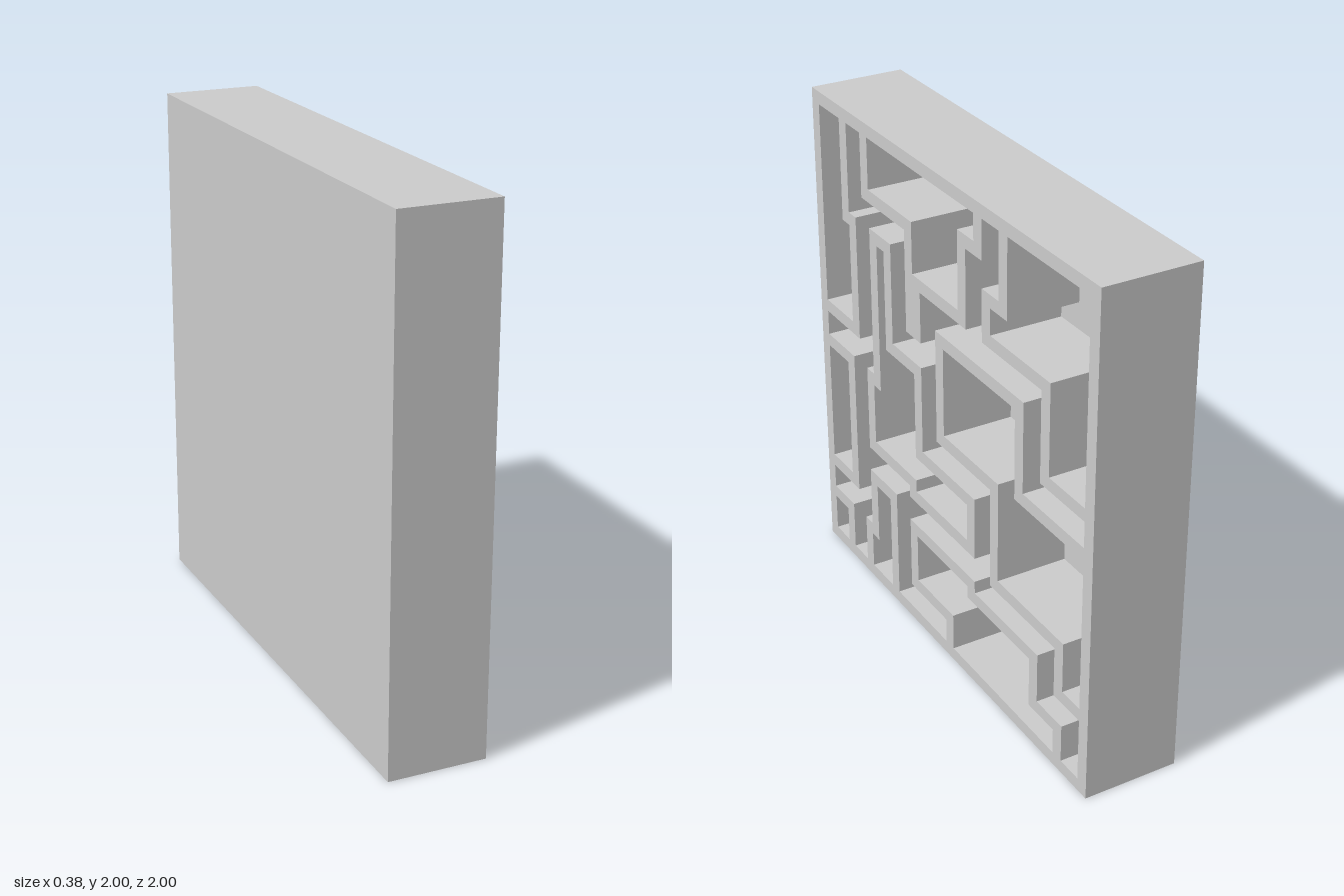
import * as THREE from 'three';

const COLS = 36, ROWS = 39;            // wall grid across the panel
const BACK = -0.19, FLOOR = -0.095, FRONT = 0.19;

// Corners of a right-angled outline: start column and row, then
// alternating column, row, column, row ... (one coordinate changes per turn).
function outline([c, r, ...turns]) {
  const points = [];
  const add = () => points.push(new THREE.Vector2(-1 + (2 * c) / COLS, 2 - (2 * r) / ROWS));
  add();
  turns.forEach((value, i) => {
    if (i % 2 === 0) c = value; else r = value;
    add();
  });
  return points;
}

// The long winding corridor
const corridor = [
  5, 1, 5, 8, 6, 18, 1, 20, 5, 32, 1, 34, 4, 38, 6, 34, 7, 29, 11, 38, 18, 36,
  13, 30, 22, 31, 30, 35, 33, 38, 35, 33, 32, 29, 24, 21, 17, 12, 28, 19, 35, 17,
  30, 10, 23, 6, 25, 1, 23, 4, 21, 10, 15, 14, 13, 6, 7, 1];

// Closed pockets between the corridor and the frame
const pockets = [
  [1, 1, 4, 9, 5, 17, 1],
  [1, 21, 4, 31, 1],
  [1, 35, 3, 38, 1],
  [8, 30, 10, 38, 7, 35, 8],
  [14, 31, 21, 32, 29, 36, 32, 38, 19, 35, 14],
  [18, 13, 27, 20, 35, 32, 33, 28, 25, 20, 18],
  [8, 1, 22, 3, 20, 9, 14, 5, 8],
  [26, 1, 35, 16, 31, 9, 24, 7, 26]];

// Free-standing hollow wall inside the corridor
const islandOuter = [8, 8, 11, 16, 15, 23, 22, 28, 13, 27, 7, 20, 8];
const islandInner = [9, 9, 10, 17, 14, 24, 21, 27, 14, 26, 8, 21, 9];

export function createModel() {
  const group = new THREE.Group();
  group.name = 'mazePanel';
  const material = new THREE.MeshStandardMaterial({ color: 0xcccccc, flatShading: true });

  const addMesh = (name, geometry) => {
    const mesh = new THREE.Mesh(geometry, material);
    mesh.name = name;
    group.add(mesh);
    return mesh;
  };

  // Raise an outline with openings from the floor to the front edge, facing +x.
  // The outer outline runs counter-clockwise so the openings face inwards.
  const addWalls = (name, outer, holes) => {
    const shape = new THREE.Shape(outline(outer).reverse());
    holes.forEach((hole) => shape.holes.push(new THREE.Path(outline(hole))));
    const geometry = new THREE.ExtrudeGeometry(shape, { depth: FRONT - FLOOR, bevelEnabled: false });
    geometry.rotateY(Math.PI / 2).translate(FLOOR, 0, 0);
    addMesh(name, geometry);
  };

  // Solid back panel
  addMesh('backPanel', new THREE.BoxGeometry(FLOOR - BACK, 2, 2))
    .position.set((BACK + FLOOR) / 2, 1, 0);

  // Frame with the maze walls attached to it, then the island
  addWalls('frameAndWalls', [0, 0, COLS, ROWS, 0], [corridor, ...pockets]);
  addWalls('islandWall', islandOuter, [islandInner]);

  return group;
}
